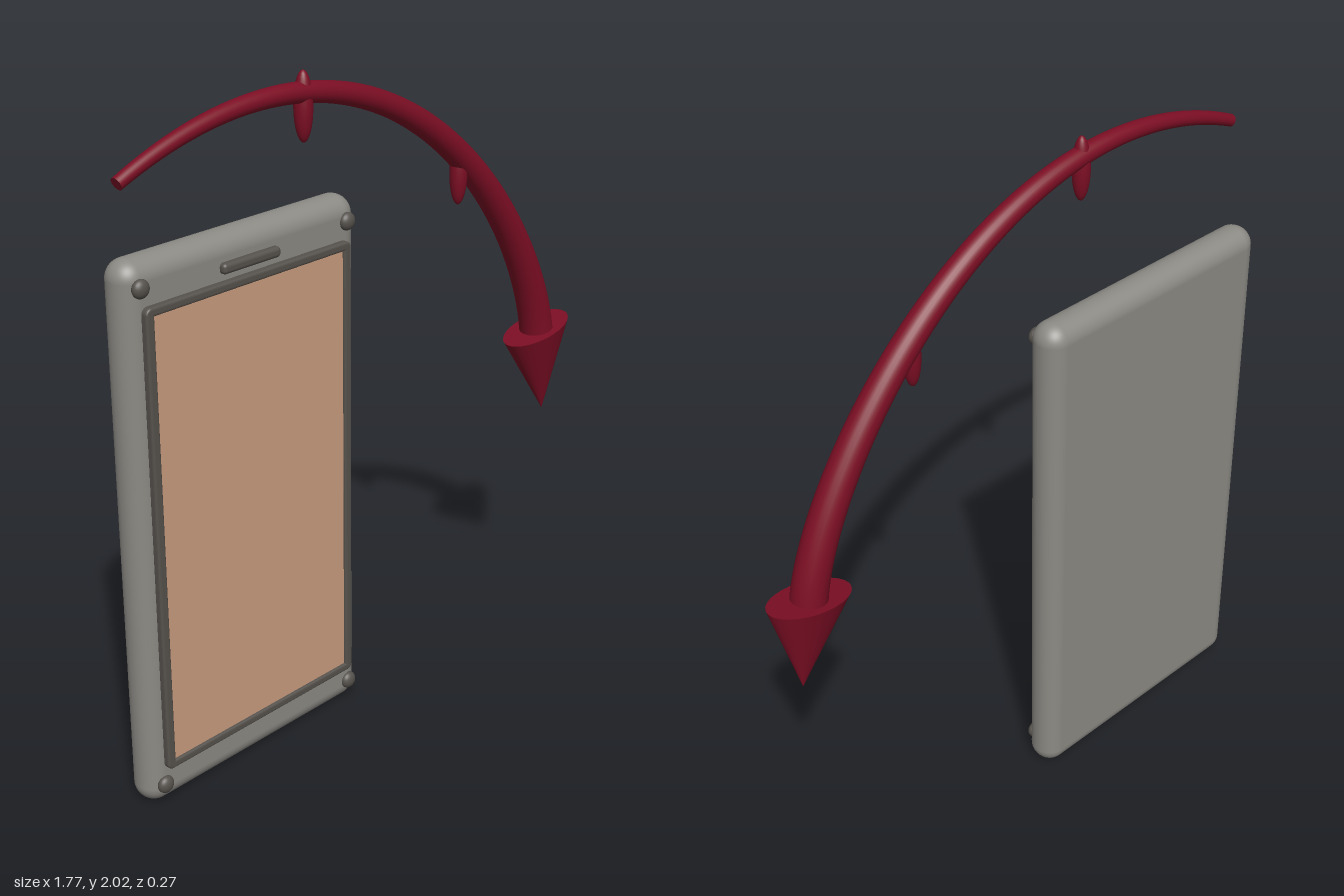
import * as THREE from 'three';
import { RoundedBoxGeometry } from 'three/addons/geometries/RoundedBoxGeometry.js';

const mat = (name, color) => {
  const m = new THREE.MeshStandardMaterial({ color });
  m.name = name;
  return m;
};

export function createModel() {
  const grey = mat('body grey', 0x8c8a84);
  const dark = mat('trim dark grey', 0x56524d);
  const tan = mat('screen tan', 0xc99d7f);
  const red = mat('arrow red', 0x7c0e24);

  const model = new THREE.Group();
  const add = (parent, name, geometry, material, x = 0, y = 0, z = 0) => {
    const mesh = new THREE.Mesh(geometry, material);
    mesh.name = name;
    mesh.position.set(x, y, z);
    parent.add(mesh);
    return mesh;
  };

  // Handheld device: rounded slab, raised screen frame, screen, speaker and screws
  const device = new THREE.Group();
  device.name = 'device';
  model.add(device);
  const cx = -0.39;
  add(device, 'body', new RoundedBoxGeometry(0.84, 1.613, 0.112, 8, 0.055), grey, cx, 0.8085, -0.076);

  const roundedRect = (Path, w, h, r) => {
    const p = new Path();
    const x = w / 2 - r, y = h / 2 - r;
    p.absarc(x, y, r, 0, Math.PI / 2);
    p.absarc(-x, y, r, Math.PI / 2, Math.PI);
    p.absarc(-x, -y, r, Math.PI, Math.PI * 1.5);
    p.absarc(x, -y, r, Math.PI * 1.5, Math.PI * 2);
    p.closePath();
    return p;
  };
  const bevel = 0.007;
  const frame = roundedRect(THREE.Shape, 0.74 - 2 * bevel, 1.375 - 2 * bevel, 0.012);
  frame.holes.push(roundedRect(THREE.Path, 0.684 + 2 * bevel, 1.324 + 2 * bevel, 0.004));
  add(device, 'screenFrame', new THREE.ExtrudeGeometry(frame, {
    depth: 0.012, bevelThickness: bevel, bevelSize: bevel, bevelSegments: 3, curveSegments: 6,
  }), dark, cx, 0.808, -0.019);
  add(device, 'screen', new THREE.BoxGeometry(0.69, 1.33, 0.009), tan, cx, 0.808, -0.0125);
  add(device, 'speaker', new RoundedBoxGeometry(0.206, 0.03, 0.03, 4, 0.011), dark, cx, 1.53, -0.016);

  for (const x of [-0.76, -0.02]) {
    for (const y of [0.07, 1.547]) {
      add(device, 'screw', new THREE.SphereGeometry(0.026, 24, 16), dark, x, y, -0.018).scale.z = 0.7;
    }
  }

  // Curved arrow sweeping over the device
  const arrow = new THREE.Group();
  arrow.name = 'arrow';
  arrow.position.z = 0.06;
  model.add(arrow);
  const curve = new THREE.CubicBezierCurve3(
    new THREE.Vector3(-0.878, 1.86, 0),
    new THREE.Vector3(0.03, 2.27, 0),
    new THREE.Vector3(0.678, 1.458, 0),
    new THREE.Vector3(0.75, 1.03, 0),
  );

  // Shaft: a tube widened steadily from tail to head
  const steps = 64, sides = 24;
  const rTail = 0.018, rHead = 0.052;
  const shaft = new THREE.TubeGeometry(curve, steps, 1, sides);
  const pos = shaft.attributes.position;
  const v = new THREE.Vector3();
  for (let i = 0; i < pos.count; i++) {
    const t = Math.floor(i / (sides + 1)) / steps;
    const c = curve.getPointAt(t);
    v.fromBufferAttribute(pos, i).sub(c).multiplyScalar(rTail + (rHead - rTail) * t).add(c);
    pos.setXYZ(i, v.x, v.y, v.z);
  }
  add(arrow, 'shaft', shaft, red);
  const up = new THREE.Vector3(0, 1, 0);
  const tail = add(arrow, 'tailCap', new THREE.CylinderGeometry(rTail, rTail, 0.004, sides), red, -0.878, 1.86, 0);
  tail.quaternion.setFromUnitVectors(up, curve.getTangentAt(0));

  // Head: a cone flattened front to back
  const base = new THREE.Vector3(0.749, 1.034, 0), tip = new THREE.Vector3(0.797, 0.746, 0);
  const dir = tip.clone().sub(base);
  const head = add(arrow, 'head', new THREE.ConeGeometry(0.134, dir.length(), 40), red);
  head.position.copy(base).add(tip).multiplyScalar(0.5);
  head.rotation.z = Math.atan2(-dir.x, dir.y);
  head.scale.z = 0.55;

  // Small drops hanging under the shaft
  for (const [x, y] of [[-0.262, 1.928], [0.357, 1.62]]) {
    add(arrow, 'drop', new THREE.SphereGeometry(0.026, 20, 16), red, x, y, 0).scale.y = 3.65;
  }
  return model;
}
